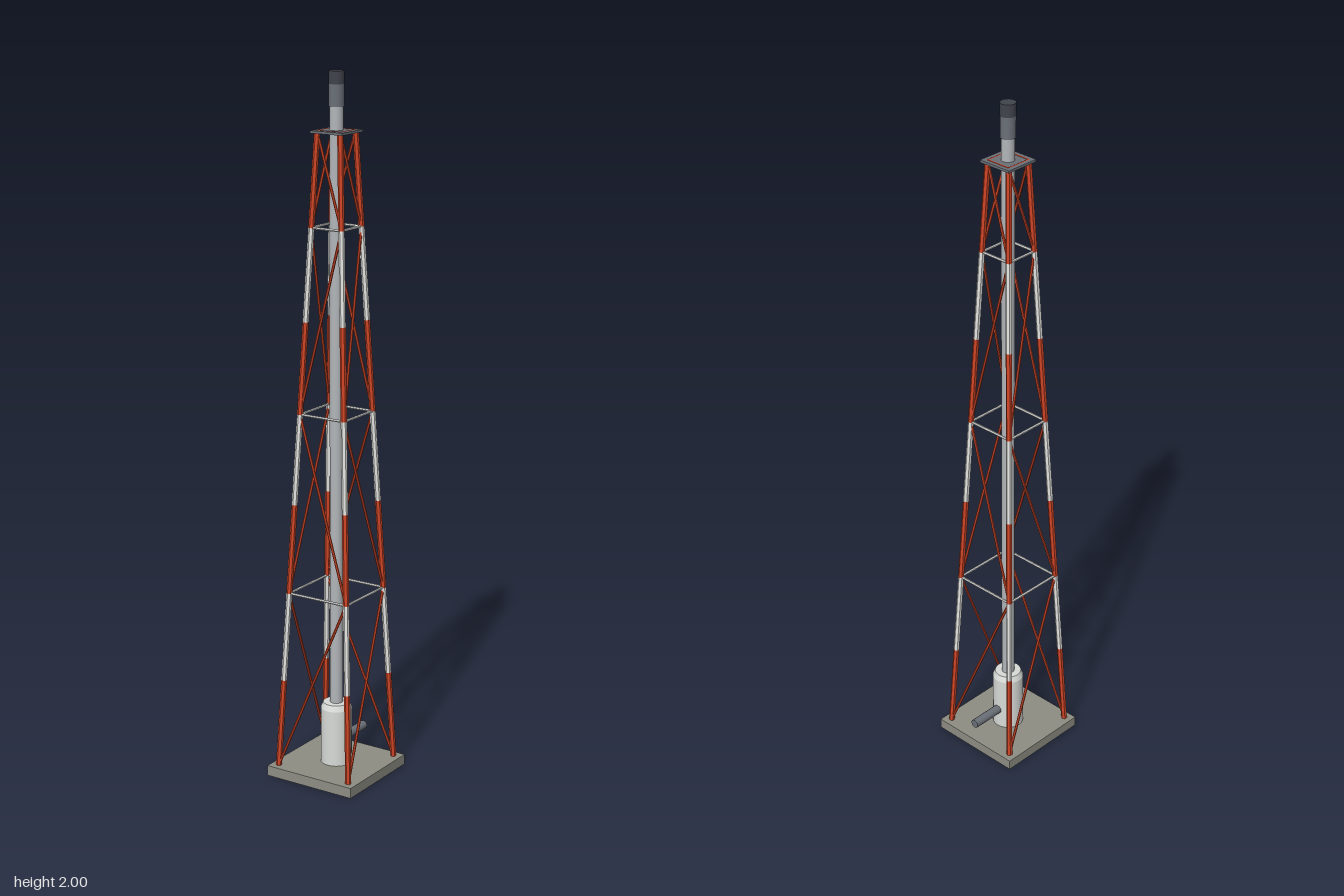
import * as THREE from 'three';

const paint = (name, color, flat = false) => {
  const m = new THREE.MeshStandardMaterial({ color, flatShading: flat });
  m.name = name;
  return m;
};

export function createModel() {
  const red = paint('signal red', 0xcf4526, true);
  const white = paint('band white', 0xe4e4e2, true);
  const concrete = paint('concrete', 0x8e8e84);
  const steel = paint('pipe steel', 0xb3b7ba);
  const drumWhite = paint('drum white', 0xd9dcd8);
  const grey = paint('dark grey', 0x6b7078);
  const soot = paint('soot', 0x40444c);

  const model = new THREE.Group();
  model.name = 'flareStack';
  const add = (parent, name, geo, mat, x = 0, y = 0, z = 0) => {
    const mesh = new THREE.Mesh(geo, mat);
    mesh.name = name;
    mesh.position.set(x, y, z);
    parent.add(mesh);
    return mesh;
  };
  // Straight bar between two points
  const bar = (parent, name, a, b, r, mat, sides = 6) => {
    const dir = b.clone().sub(a);
    const mesh = add(parent, name, new THREE.CylinderGeometry(r, r, dir.length(), sides), mat);
    mesh.position.copy(a).add(b).multiplyScalar(0.5);
    mesh.quaternion.setFromUnitVectors(new THREE.Vector3(0, 1, 0), dir.normalize());
  };
  // Upright cylinder between two heights
  const upright = (name, r0, r1, y0, y1, mat, sides = 20) =>
    add(model, name, new THREE.CylinderGeometry(r1, r0, y1 - y0, sides), mat, 0, (y0 + y1) / 2, 0);

  // Tapering tower: corner points, counted round the square
  const bottom = 0.03, top = 1.84;
  const signs = [[-1, 1], [1, 1], [1, -1], [-1, -1]];
  const corner = (i, y) => {
    const h = 0.119 + (0.037 - 0.119) * (y - bottom) / (top - bottom);
    const [sx, sz] = signs[i % 4];
    return new THREE.Vector3(sx * h, y, sz * h);
  };
  const bands = 7;
  const bandY = (k) => bottom + (top - bottom) * k / bands;
  const levels = [0, 2, 4, 6, 7].map(bandY);

  const tower = new THREE.Group();
  tower.name = 'tower';
  model.add(tower);
  for (let i = 0; i < 4; i++) {
    // Banded leg
    for (let k = 0; k < bands; k++) {
      bar(tower, 'legBand', corner(i, bandY(k)), corner(i, bandY(k + 1)), 0.0085, k % 2 ? white : red);
    }
    // Zigzag braces and level rails on each side
    for (let k = 0; k < 4; k++) {
      const from = k % 2 ? i + 1 : i, to = k % 2 ? i : i + 1;
      bar(tower, 'brace', corner(from, levels[k]), corner(to, levels[k + 1]), 0.004, red);
      const y = levels[k + 1];
      bar(tower, 'rail', corner(i, y), corner(i + 1, y), 0.0038, k === 3 ? red : white);
    }
  }

  // Foundation and top platform
  add(model, 'foundation', new THREE.BoxGeometry(0.285, 0.03, 0.285), concrete, 0, 0.015, 0);
  add(model, 'platform', new THREE.BoxGeometry(0.102, 0.007, 0.102), grey, 0, 1.839, 0);

  // Seal drum with inlet pipe at the back
  upright('drum', 0.045, 0.045, 0.03, 0.195, drumWhite, 24);
  upright('drumShoulder', 0.045, 0.038, 0.195, 0.212, drumWhite, 24);
  const inlet = add(model, 'inletPipe', new THREE.CylinderGeometry(0.013, 0.013, 0.123, 14), grey, 0, 0.09, -0.081);
  inlet.rotation.x = Math.PI / 2;

  // Riser and burner tip
  upright('riser', 0.0185, 0.0185, 0.2, 1.91, steel);
  upright('burner', 0.021, 0.021, 1.905, 1.965, grey);
  upright('burnerTip', 0.0215, 0.0215, 1.965, 2, soot);

  return model;
}
